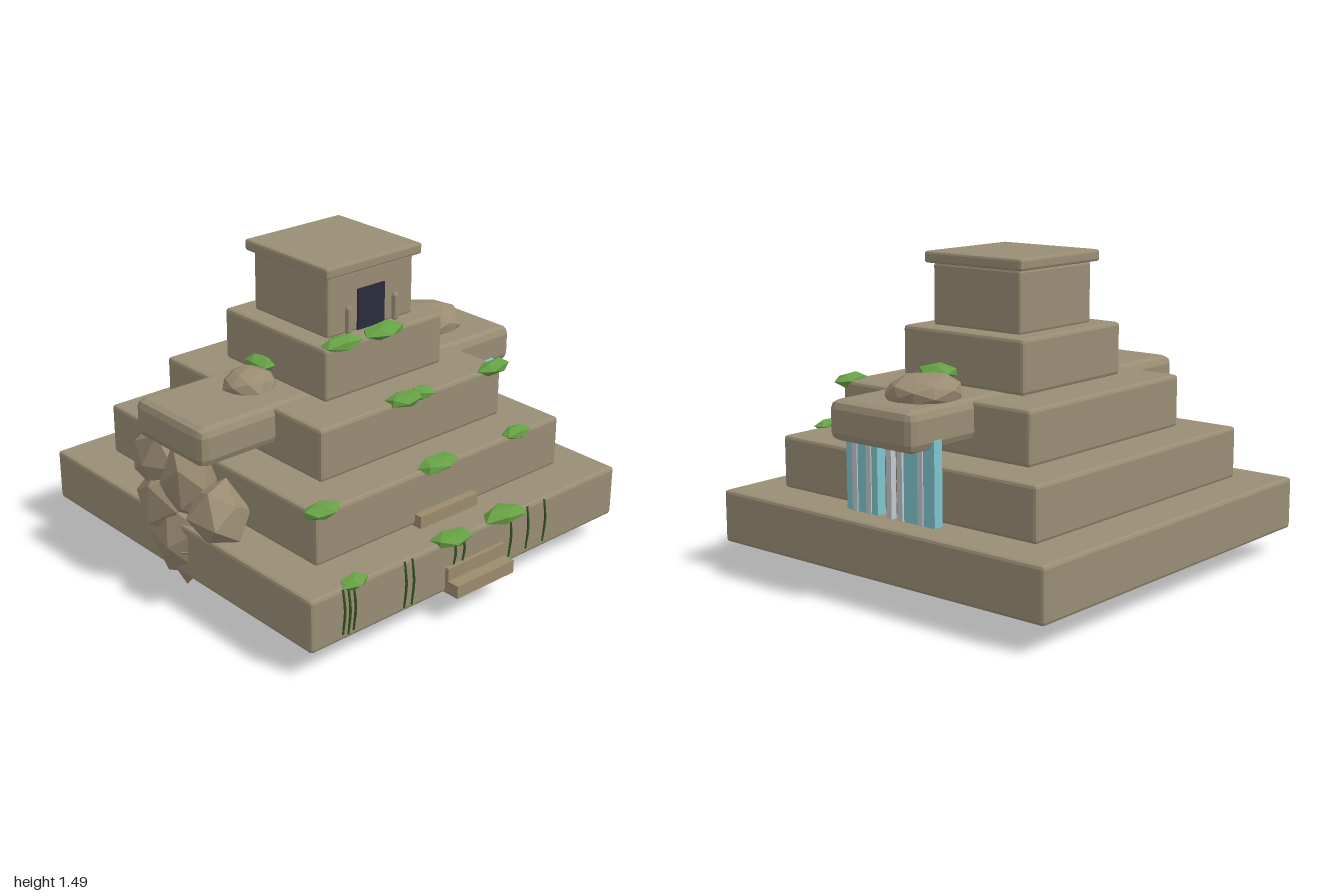
import * as THREE from 'three';
import { RoundedBoxGeometry } from 'three/addons/geometries/RoundedBoxGeometry.js';

const material = (name, color, flatShading = false) => {
  const m = new THREE.MeshStandardMaterial({ color, flatShading });
  m.name = name;
  return m;
};

export function createModel() {
  const model = new THREE.Group();
  model.name = 'terracedTemple';
  const stone = material('stone', 0x998d74, true);
  const rock = material('rock', 0x9a8b72, true);
  const step = material('stepStone', 0x9c8b6d, true);
  const doorDark = material('doorDark', 0x2a2b3f);
  const leaf = material('leaf', 0x66a045, true);
  const vine = material('vine', 0x33581f);
  const water = material('water', 0x7fc5cd);
  const foam = material('foam', 0xc0c9cd);

  const add = (name, geometry, mat, x = 0, y = 0, z = 0) => {
    const mesh = new THREE.Mesh(geometry, mat);
    mesh.name = name;
    mesh.position.set(x, y, z);
    model.add(mesh);
    return mesh;
  };
  // Box given by its limits, with chamfered edges when bevel > 0
  const block = (name, mat, [x0, x1], [y0, y1], [z0, z1], bevel = 0) => {
    const size = [x1 - x0, y1 - y0, z1 - z0];
    const g = bevel ? new RoundedBoxGeometry(...size, 1, bevel) : new THREE.BoxGeometry(...size);
    return add(name, g, mat, (x0 + x1) / 2, (y0 + y1) / 2, (z0 + z1) / 2);
  };
  // Irregular faceted lump: shared corners get the same radial shift
  const lump = (name, mat, [x, y, z], [rx, ry, rz], seed, detail = 0, rough = 0.15) => {
    const g = new THREE.IcosahedronGeometry(1, detail);
    g.rotateY(seed * 1.3);
    const p = g.attributes.position;
    const v = new THREE.Vector3();
    for (let i = 0; i < p.count; i++) {
      v.fromBufferAttribute(p, i);
      const n = Math.sin(v.x * 5.1 + v.y * 7.3 + v.z * 6.2 + seed * 2.7);
      v.multiplyScalar(1 + rough * n);
      p.setXYZ(i, v.x * rx, v.y * ry, v.z * rz);
    }
    g.computeVertexNormals();
    return add(name, g, mat, x, y, z);
  };

  // Four terraces
  for (let i = 0; i < 4; i++) {
    const r = 0.96 - i * 0.2, y = 0.12 + i * 0.257;
    block('terrace', stone, [0.03 - r, 0.03 + r], [y, y + 0.252], [-0.04 - r, -0.04 + r], 0.016);
  }

  // Shrine, roof, doorway and door posts
  block('shrine', stone, [-0.23, 0.29], [1.14, 1.43], [-0.3, 0.22], 0.012);
  block('shrineRoof', stone, [-0.26, 0.32], [1.43, 1.485], [-0.33, 0.25], 0.012);
  block('doorway', doorDark, [-0.055, 0.11], [1.14, 1.34], [0.219, 0.227]);
  for (const x of [-0.115, 0.17]) {
    add('doorPost', new THREE.CapsuleGeometry(0.016, 0.11, 2, 8), stone, x, 1.205, 0.232);
  }

  // Overhanging side ledge
  block('sideLedge', stone, [-0.94, 0.99], [0.71, 0.895], [-0.29, 0.21], 0.04);

  // Front steps, climbing into the terrace
  for (let i = 0; i < 5; i++) {
    const y = 0.12 + i * 0.0625;
    block('frontStep', step, [-0.15, 0.21], [y, y + 0.0625], [0.6, 1 - i * 0.06]);
  }

  // Boulders on the ledge and the rockfall below its left end
  lump('ledgeBoulder', rock, [-0.46, 0.895, -0.06], [0.13, 0.09, 0.12], 1, 1, 0.06);
  lump('ledgeBoulder', rock, [0.69, 0.915, -0.09], [0.18, 0.09, 0.17], 2, 1, 0.06);
  lump('rockfall', rock, [-0.86, 0.6, -0.23], [0.135, 0.15, 0.17], 3);
  lump('rockfall', rock, [-0.86, 0.56, 0.0], [0.13, 0.19, 0.15], 4);
  lump('rockfall', rock, [-0.86, 0.47, 0.2], [0.13, 0.17, 0.16], 5);
  lump('rockfall', rock, [-0.86, 0.42, -0.15], [0.13, 0.16, 0.17], 6);
  const spike = lump('rockfallFoot', rock, [-0.86, 0.2, -0.06], [0.13, 0.2, 0.22], 7, 0, 0);
  spike.position.y = 0.26;
  // Pointed tip beneath the base
  const tip = add('rockfallTip', new THREE.ConeGeometry(1, 0.25, 6), rock, -0.85, 0.125, -0.06);
  tip.scale.set(0.12, 1, 0.22);
  tip.rotation.x = Math.PI;

  // Waterfall below the right end of the ledge
  for (const [z0, z1] of [[0.04, 0.23], [-0.3, -0.12]]) {
    block('waterSheet', water, [0.81, 0.86], [0.37, 0.755], [z0, z1]);
  }
  for (const z of [0.175, 0.09, -0.035, -0.1, -0.22]) {
    block('foamStrand', foam, [0.835, 0.866], [0.37, 0.74], [z - 0.015, z + 0.015]);
  }
  // Stacked stones behind the water
  for (let i = 0; i < 4; i++) {
    const y = 0.38 + i * 0.08;
    block('stackedStone', rock, [0.73, 0.81], [y, y + 0.068], [-0.09, 0.035], 0.012);
  }
  // Splash patches under the base
  lump('splash', water, [0.85, 0.118, 0.06], [0.07, 0.014, 0.12], 2);
  lump('splash', foam, [0.85, 0.118, -0.13], [0.07, 0.014, 0.1], 3);

  // Hub with spokes under the base
  lump('underHub', rock, [0.03, 0.105, -0.04], [0.035, 0.02, 0.035], 1, 0, 0);
  for (let i = 0; i < 5; i++) {
    const a = (i / 5) * Math.PI * 2 + 0.3;
    const dx = Math.cos(a), dz = Math.sin(a);
    const spoke = add('underSpoke', new THREE.BoxGeometry(0.08, 0.012, 0.01), rock,
      0.03 + dx * 0.045, 0.115, -0.04 + dz * 0.045);
    spoke.rotation.y = -a;
    add('underStud', new THREE.CylinderGeometry(0.012, 0.012, 0.03, 6), rock,
      0.03 + dx * 0.085, 0.108, -0.04 + dz * 0.085);
  }

  // Leafy clumps on the terrace edges: x, y, z, half width, half depth
  const clumps = [
    [-0.23, 1.15, 0.305, 0.12, 0.06], [0.03, 1.145, 0.305, 0.14, 0.07],
    [-0.02, 0.89, 0.51, 0.11, 0.06], [0.08, 0.888, 0.51, 0.07, 0.05], [0.55, 0.885, 0.51, 0.1, 0.055],
    [-0.68, 0.632, 0.71, 0.105, 0.06], [0, 0.632, 0.705, 0.13, 0.065], [0.5, 0.635, 0.71, 0.085, 0.045],
    [-0.68, 0.372, 0.905, 0.08, 0.045], [-0.1, 0.372, 0.905, 0.12, 0.07], [0.23, 0.375, 0.905, 0.13, 0.075],
    [0.46, 0.965, 0.035, 0.095, 0.11], [-0.36, 0.965, -0.1, 0.06, 0.09],
  ];
  clumps.forEach(([x, y, z, rx, rz], i) => {
    lump('leafClump', leaf, [x, y, z], [rx, 0.034, rz], i * 0.7, 0, 0.1);
  });

  // Hanging vines on the base front: x, bottom
  const vines = [[-0.755, 0.15], [-0.725, 0.14], [-0.695, 0.15], [-0.4, 0.14], [-0.355, 0.14],
    [-0.1, 0.24], [-0.045, 0.24], [0.26, 0.15], [0.375, 0.15], [0.49, 0.15]];
  for (const [x, y] of vines) {
    const curve = new THREE.CatmullRomCurve3([
      new THREE.Vector3(x, 0.37, 0.918),
      new THREE.Vector3(x + 0.008, (y + 0.37) / 2, 0.926),
      new THREE.Vector3(x, y, 0.92),
    ]);
    add('vine', new THREE.TubeGeometry(curve, 6, 0.006, 5), vine);
  }
  return model;
}
